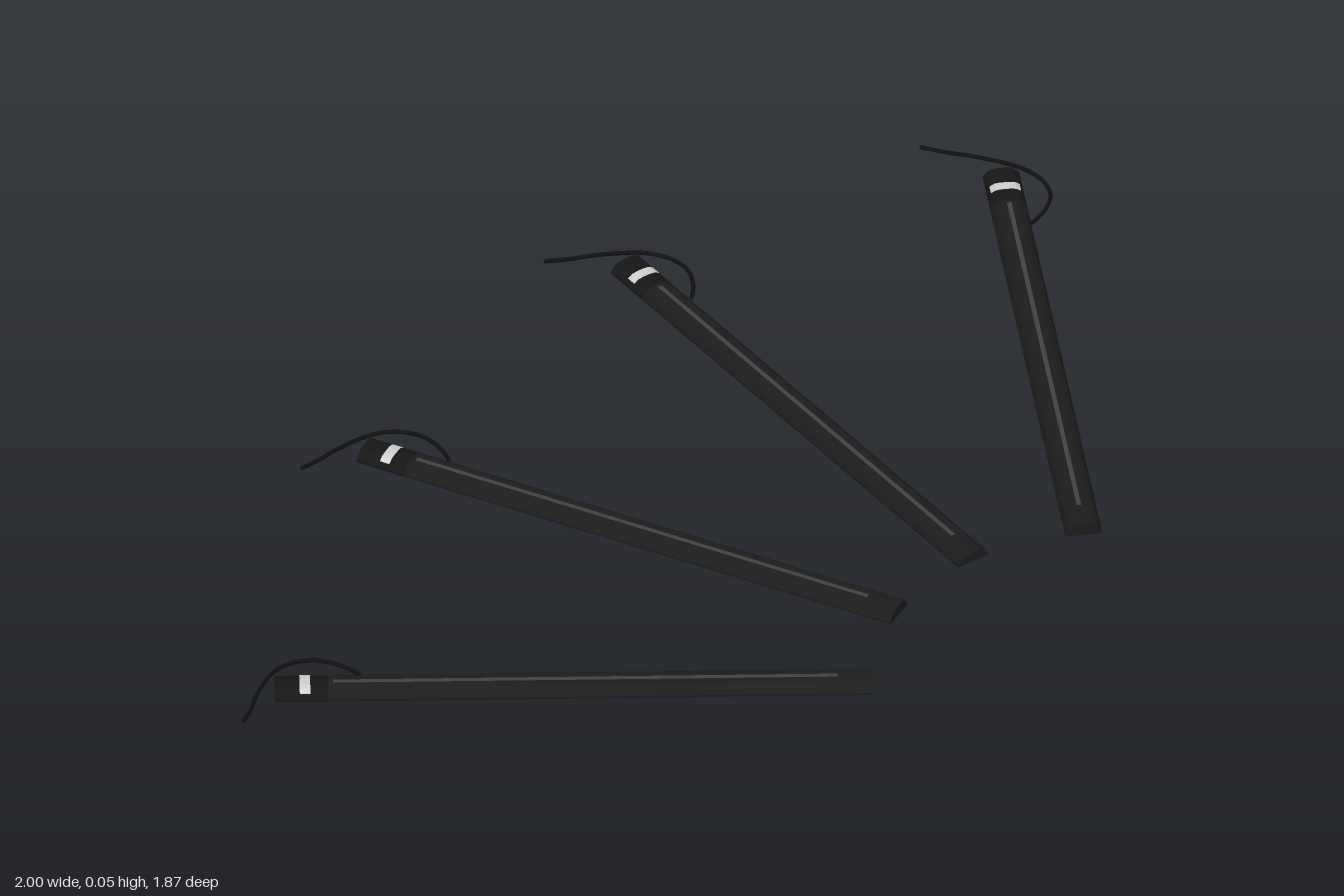
import * as THREE from 'three';

const mat = (name, color) => {
  const m = new THREE.MeshStandardMaterial({ color });
  m.name = name;
  return m;
};

// Right half of the domed bar cross-section, from the base edge to the crown
const HALF = [[0.04, 0], [0.04, 0.005], [0.033, 0.016], [0.023, 0.0225], [0.01, 0.0245]];
const LENGTH = 1.29;
const HEAD = 0.115;

const mirrored = (half) => [...half, ...half.slice().reverse().map(([x, y]) => [-x, y])];

function extrude(points, z0, z1) {
  const shape = new THREE.Shape(points.map(([x, y]) => new THREE.Vector2(x, y)));
  const geo = new THREE.ExtrudeGeometry(shape, { depth: z1 - z0, bevelEnabled: false });
  return geo.translate(0, 0, z0);
}

export function createModel() {
  const model = new THREE.Group();
  model.name = 'lightBars';

  const black = mat('bodyBlack', 0x1d1d1d);
  const headBlack = mat('headBlack', 0x171717);
  const cableBlack = mat('cableBlack', 0x111111);
  const grey = mat('stripGrey', 0x424242);
  const silver = mat('bandSilver', 0xd2d2d0);

  // Thin band that follows the upper facets
  const top = mirrored(HALF.slice(2));
  const bandOutline = [
    ...top.map(([x, y]) => [x, y + 0.0012]),
    ...top.slice().reverse().map(([x, y]) => [x, y - 0.001]),
  ];

  // Cable leaves the side of the bar, loops round the head and rises at its free end
  const cablePath = new THREE.CatmullRomCurve3([
    [0.036, 0.01, 0.187], [0.044, 0.01, 0.181], [0.075, 0.01, 0.143], [0.095, 0.01, 0.09],
    [0.085, 0.012, 0.042], [0.058, 0.016, 0.008], [0.02, 0.021, -0.015],
    [-0.063, 0.032, -0.043], [-0.11, 0.038, -0.053], [-0.164, 0.045, -0.07],
  ].map((p) => new THREE.Vector3(...p)));

  const parts = [
    ['body', extrude(mirrored(HALF), HEAD, LENGTH), black],
    ['head', extrude(mirrored(HALF), 0, HEAD), headBlack],
    ['centreStrip', new THREE.BoxGeometry(0.01, 0.002, 1.09).translate(0, 0.0243, 0.67), grey],
    ['band', extrude(bandOutline, 0.053, 0.076), silver],
    ['cable', new THREE.TubeGeometry(cablePath, 60, 0.0045, 8), cableBlack],
    ['cableTip', new THREE.SphereGeometry(0.0045, 8, 6).translate(-0.164, 0.045, -0.07), cableBlack],
  ];

  // Four identical bars fanned out: head x, head z, turn in degrees
  [[0.898, -0.864, 0], [0.052, -0.657, 27.6], [-0.598, -0.08, 55.4], [-0.908, 0.737, 83.2]]
    .forEach(([x, z, turn], i) => {
      const bar = new THREE.Group();
      bar.name = `bar${i + 1}`;
      for (const [name, geo, material] of parts) {
        const mesh = new THREE.Mesh(geo, material);
        mesh.name = name;
        bar.add(mesh);
      }
      bar.position.set(x, 0, z);
      bar.rotation.y = THREE.MathUtils.degToRad(turn);
      model.add(bar);
    });

  return model;
}
